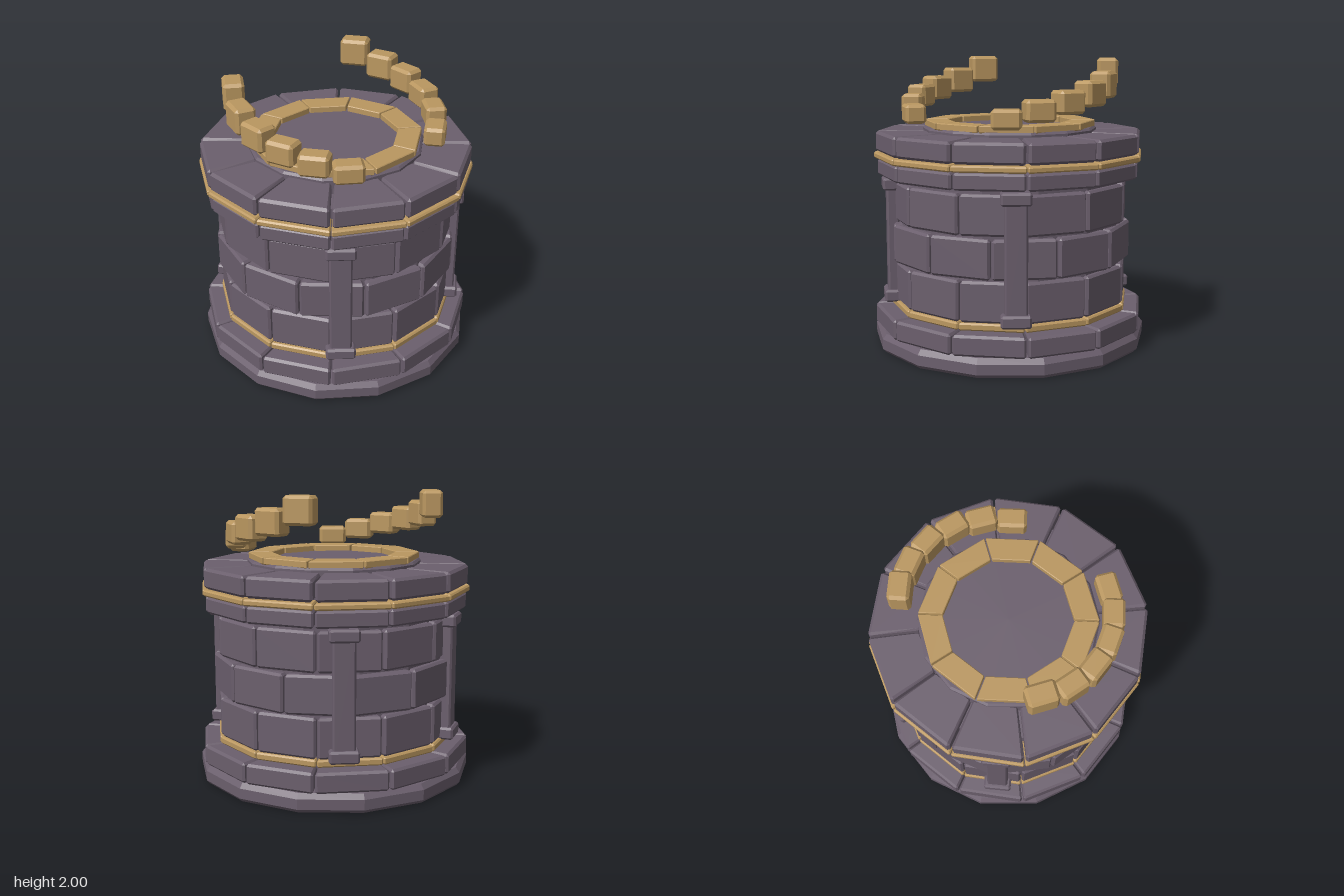
import * as THREE from 'three';
import { ConvexGeometry } from 'three/addons/geometries/ConvexGeometry.js';

const stone = new THREE.MeshStandardMaterial({ color: 0x6b5f6d });
stone.name = 'dark stone';
const gold = new THREE.MeshStandardMaterial({ color: 0xba9760 });
gold.name = 'sandy gold';

// Chamfered block: each corner becomes three points, then warped by place(x, y, z)
function chamferedBlock(w, h, d, c, place = (x, y, z) => new THREE.Vector3(x, y, z)) {
  const points = [];
  for (const sx of [-1, 1]) for (const sy of [-1, 1]) for (const sz of [-1, 1]) {
    for (let full = 0; full < 3; full++) {
      const x = sx * (w / 2 - (full === 0 ? 0 : c));
      const y = sy * (h / 2 - (full === 1 ? 0 : c));
      const z = sz * (d / 2 - (full === 2 ? 0 : c));
      points.push(place(x, y, z));
    }
  }
  return new ConvexGeometry(points);
}

// Ring of wedge blocks with flat outer faces; offset is measured in blocks
function blockRing(name, material, { count, y0, y1, inner, outer, chamfer, gap = 0.006, offset = 0 }) {
  const ring = new THREE.Group();
  ring.name = name;
  const slope = Math.tan(Math.PI / count);
  const width = 2 * (outer * slope - gap);
  const mid = (inner + outer) / 2;
  const geometry = chamferedBlock(width, y1 - y0, outer - inner, chamfer, (x, y, z) => {
    const r = mid + z;
    return new THREE.Vector3(x * (r * slope - gap) / (width / 2), y + (y0 + y1) / 2, r);
  });
  for (let i = 0; i < count; i++) {
    const block = new THREE.Mesh(geometry, material);
    block.name = name + 'Block';
    block.rotation.y = (i + offset) * 2 * Math.PI / count;
    ring.add(block);
  }
  return ring;
}

// Faceted 14-sided solid from a profile
function facetedSolid(name, profile) {
  const geometry = new THREE.LatheGeometry(profile.map(p => new THREE.Vector2(...p)), 14).toNonIndexed();
  geometry.computeVertexNormals();
  const mesh = new THREE.Mesh(geometry, stone);
  mesh.name = name;
  return mesh;
}

// Pillar with a cap and a foot, facing outward
function pillar(angle) {
  const group = new THREE.Group();
  group.name = 'pillar';
  const parts = [
    ['pillarShaft', 0.15, 0.33, 1.16, 0.085, 0.012],
    ['pillarCap', 0.2, 1.1, 1.185, 0.135, 0.014],
    ['pillarFoot', 0.2, 0.31, 0.395, 0.135, 0.014],
  ];
  for (const [name, w, y0, y1, d, c] of parts) {
    const mesh = new THREE.Mesh(chamferedBlock(w, y1 - y0, d, c), stone);
    mesh.name = name;
    mesh.position.set(0, (y0 + y1) / 2, 0.833);
    group.add(mesh);
  }
  group.rotation.y = angle;
  return group;
}

// Curved rising row of gold blocks, one on each side
function risingArc(side) {
  const group = new THREE.Group();
  group.name = side > 0 ? 'leftRisingArc' : 'rightRisingArc';
  const levels = [[1.56, 1.69], [1.605, 1.75], [1.65, 1.805], [1.69, 1.86], [1.735, 1.915], [1.81, 2.0]];
  levels.forEach(([y0, y1], i) => {
    const angle = side * THREE.MathUtils.degToRad(36.5 + 17.6 * i);
    const block = new THREE.Mesh(chamferedBlock(0.2, y1 - y0, 0.142, 0.02), gold);
    block.name = 'arcBlock';
    block.position.set(0.68 * Math.sin(angle), (y0 + y1) / 2, 0.68 * Math.cos(angle));
    block.rotation.y = angle;
    group.add(block);
  });
  return group;
}

export function createModel() {
  const model = new THREE.Group();
  model.name = 'stoneWell';

  // Solid plinth, core and top disc
  model.add(
    facetedSolid('plinth', [[0, 0], [0.945, 0], [0.968, 0.025], [0.968, 0.095], [0.94, 0.13], [0, 0.13]]),
    facetedSolid('core', [[0, 0.12], [0.8, 0.12], [0.8, 1.42], [0, 1.42]]),
    facetedSolid('topDisc', [[0, 1.4], [0.61, 1.4], [0.61, 1.515], [0.595, 1.53], [0, 1.53]]),
  );

  // Stacked rings of blocks
  const rings = [
    ['baseRing', stone, { y0: 0.13, y1: 0.27, inner: 0.7, outer: 0.93, chamfer: 0.016 }],
    ['lowerGoldBand', gold, { y0: 0.27, y1: 0.32, inner: 0.7, outer: 0.825, chamfer: 0.01, gap: 0.003 }],
    ['lowerWall', stone, { y0: 0.32, y1: 0.595, inner: 0.66, outer: 0.815, chamfer: 0.016 }],
    ['middleWall', stone, { y0: 0.61, y1: 0.875, inner: 0.66, outer: 0.825, chamfer: 0.016, offset: 0.5 }],
    ['upperWall', stone, { y0: 0.89, y1: 1.16, inner: 0.66, outer: 0.815, chamfer: 0.016 }],
    ['upperRing', stone, { y0: 1.195, y1: 1.305, inner: 0.68, outer: 0.9, chamfer: 0.014 }],
    ['upperGoldBand', gold, { y0: 1.312, y1: 1.355, inner: 0.7, outer: 0.922, chamfer: 0.01, gap: 0.003 }],
    ['topRing', stone, { y0: 1.36, y1: 1.5, inner: 0.57, outer: 0.91, chamfer: 0.018, gap: 0.008 }],
    ['goldRim', gold, { count: 10, y0: 1.525, y1: 1.572, inner: 0.415, outer: 0.572, chamfer: 0.005 }],
  ];
  for (const [name, material, options] of rings) {
    model.add(blockRing(name, material, { count: 12, ...options }));
  }

  // Pillars and rising arcs, mirrored left and right
  for (const side of [-1, 1]) {
    model.add(pillar(side * THREE.MathUtils.degToRad(41)));
    model.add(pillar(side * THREE.MathUtils.degToRad(147)));
    model.add(risingArc(side));
  }
  return model;
}
